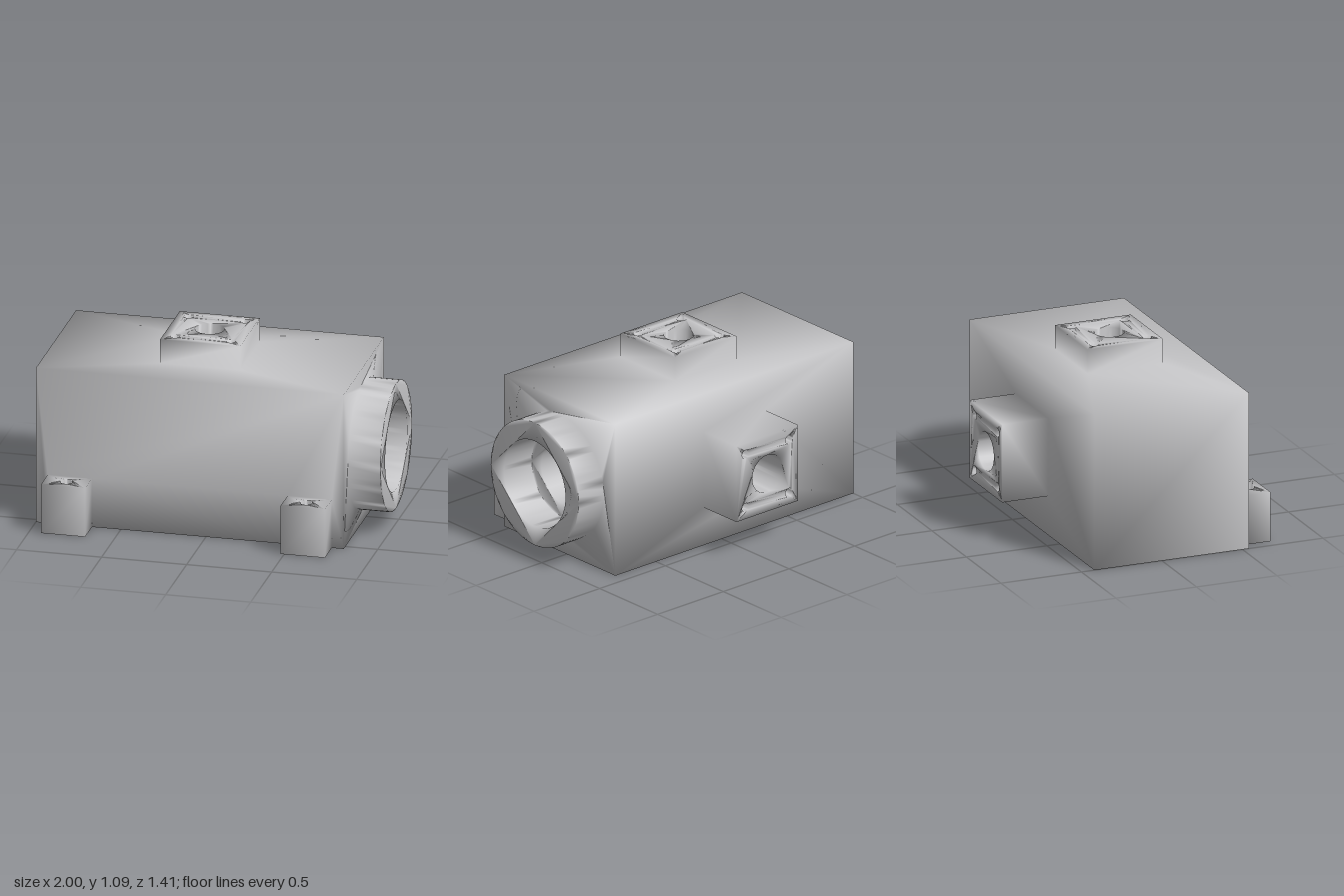
import * as THREE from 'three';
import { mergeGeometries, mergeVertices } from 'three/addons/utils/BufferGeometryUtils.js';

const metal = new THREE.MeshStandardMaterial({ color: 0xc4c4c6 });
metal.name = 'cast grey metal';

const Q = Math.PI / 2;
const pts = list => list.map(([x, y]) => new THREE.Vector2(x, y));
const rect = (w, h) => pts([[-w / 2, -h / 2], [w / 2, -h / 2], [w / 2, h / 2], [-w / 2, h / 2]]);
const ring = (x, y, r, n) => Array.from({ length: n }, (_, i) => new THREE.Vector2(
  x + r * Math.cos(i / n * 2 * Math.PI), y + r * Math.sin(i / n * 2 * Math.PI)));

// Frame whose local +z points out of a wall
const frame = (rx, ry, x = 0, y = 0, z = 0) => new THREE.Matrix4().makeTranslation(x, y, z)
  .multiply(new THREE.Matrix4().makeRotationFromEuler(new THREE.Euler(rx, ry, 0)));

// Flat face with holes, at height z in its frame
function face(m, outline, holes, z) {
  const shape = new THREE.Shape(outline);
  shape.holes = holes.map(h => new THREE.Path(h));
  const g = new THREE.ShapeGeometry(shape).toNonIndexed();
  g.deleteAttribute('normal');
  g.deleteAttribute('uv');
  return g.translate(0, 0, z).applyMatrix4(m);
}

// Side wall along an outline: z1 above z0 faces outward, below it faces inward
function sleeve(m, outline, z0, z1, closed = true) {
  const v = [];
  outline.forEach((a, i) => {
    if (!closed && i === outline.length - 1) return;
    const b = outline[(i + 1) % outline.length];
    v.push(a.x, a.y, z0, b.x, b.y, z0, b.x, b.y, z1, a.x, a.y, z0, b.x, b.y, z1, a.x, a.y, z1);
  });
  const g = new THREE.BufferGeometry();
  g.setAttribute('position', new THREE.Float32BufferAttribute(v, 3));
  return g.applyMatrix4(m);
}

// Square flange with a central blind bore and four blind screw holes
function squarePort(m, base, height, radius, depth) {
  const outline = rect(0.47, 0.47), top = base + height;
  const bore = ring(0, 0, radius, 32);
  const screws = [-1, 1].flatMap(a => [-1, 1].map(b => ring(a * 0.165, b * 0.165, 0.027, 16)));
  return [
    sleeve(m, outline, base, top), face(m, outline, [bore, ...screws], top),
    sleeve(m, bore, top, base - depth), face(m, bore, [], base - depth),
    ...screws.flatMap(s => [sleeve(m, s, top, top - 0.1), face(m, s, [], top - 0.1)]),
  ];
}

// Weld the whole casting for continuous smooth normals, then split it into named parts
function castParts(parts) {
  const joined = parts.map(([, list]) => mergeGeometries(list));
  const welded = mergeVertices(mergeGeometries(joined), 1e-4);
  welded.computeVertexNormals();
  const all = welded.toNonIndexed();
  const group = new THREE.Group();
  let start = 0;
  parts.forEach(([name], i) => {
    const end = start + joined[i].attributes.position.count;
    const g = new THREE.BufferGeometry();
    for (const key of ['position', 'normal']) {
      g.setAttribute(key, new THREE.BufferAttribute(all.attributes[key].array.slice(start * 3, end * 3), 3));
    }
    const mesh = new THREE.Mesh(g, metal);
    mesh.name = name;
    group.add(mesh);
    start = end;
  });
  return group;
}

export function createModel() {
  const W = 1.81, H = 0.94, D = 0.96, center = [-0.095, H / 2, 0.06];
  const top = frame(-Q, 0, ...center), back = frame(0, Math.PI, ...center);
  const openEnd = frame(0, Q, ...center), closedEnd = frame(0, -Q, ...center);
  const front = frame(0, 0), under = frame(Q, 0), upright = frame(-Q, 0);
  const flange = rect(0.47, 0.47);
  const feet = [-0.8, 0.61], half = 0.13, footTop = 0.295, z0 = 0.54, z1 = 0.705, zHole = 0.6225;

  // Front and underside outlines step around the two feet
  const stepped = (a, b) => feet.flatMap(x => [[x - half, a], [x - half, b], [x + half, b], [x + half, a]]);
  const frontOutline = pts([[-1, 0], ...stepped(0, footTop), [0.81, 0], [0.81, H], [-1, H]]);
  const underOutline = pts([[-1, -0.42], [-1, z0], ...stepped(z0, z1), [0.81, z0], [0.81, -0.42]]);

  const body = [
    face(front, frontOutline, [], z0),
    face(under, underOutline, feet.map(x => ring(x, zHole, 0.036, 24)), 0),
    face(top, rect(W, D), [flange], H / 2),
    face(back, rect(W, H), [flange], D / 2),
    face(closedEnd, rect(D, H), [], W / 2),
    face(openEnd, rect(D, H), [ring(0, 0, 0.38, 64)], W / 2),
  ];

  // Round main port with a stepped blind bore
  const [outer, mouth, bore] = [0.38, 0.265, 0.18].map(r => ring(0, 0, r, 64));
  const e = W / 2;
  const mainPort = [
    sleeve(openEnd, outer, e, e + 0.19), face(openEnd, outer, [mouth], e + 0.19),
    sleeve(openEnd, mouth, e + 0.19, e - 0.02), face(openEnd, mouth, [bore], e - 0.02),
    sleeve(openEnd, bore, e - 0.02, e - 1.1), face(openEnd, bore, [], e - 1.1),
  ];

  // Mounting feet with vertical bolt holes
  const footParts = feet.map(x => {
    const outline = pts([[x - half, -z0], [x - half, -z1], [x + half, -z1], [x + half, -z0]]);
    const hole = ring(x, -zHole, 0.036, 24);
    return ['mountingFoot', [
      sleeve(upright, outline, 0, footTop, false),
      face(upright, outline, [hole], footTop),
      sleeve(upright, hole, footTop, 0),
    ]];
  });

  const model = castParts([
    ['body', body],
    ['mainPort', mainPort],
    ['topPort', squarePort(top, H / 2, 0.145, 0.085, 0.24)],
    ['backPort', squarePort(back, D / 2, 0.285, 0.115, 0.24)],
    ...footParts,
  ]);
  model.name = 'valveBody';
  return model;
}
